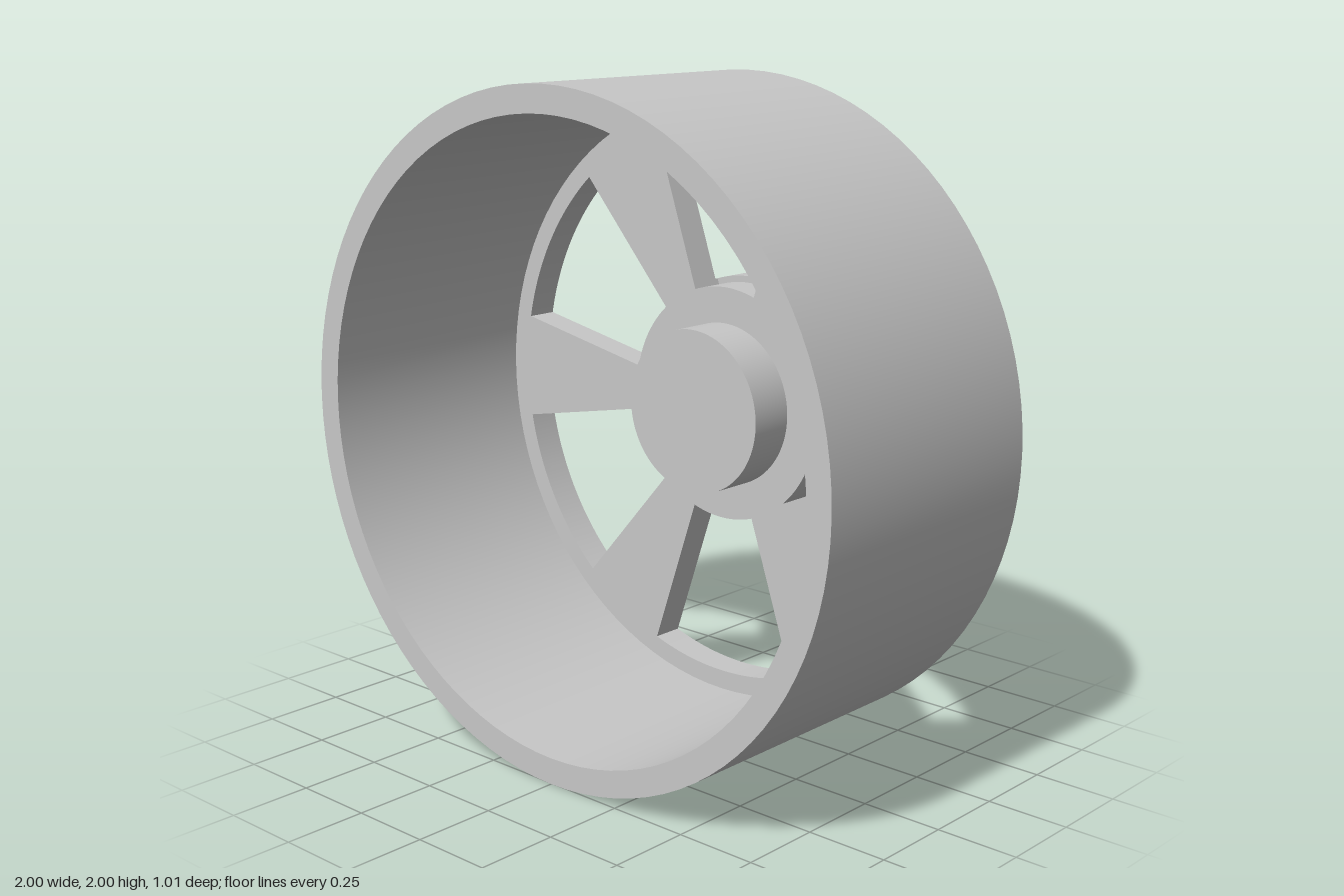
import * as THREE from 'three';
import { toCreasedNormals } from 'three/addons/utils/BufferGeometryUtils.js';

const SEG = 96;
const HALF = THREE.MathUtils.degToRad(18.8); // half angle of one window
const WINDOWS = [...Array(6)].map((_, i) => Math.PI / 6 + (i * Math.PI) / 3);

export function createModel() {
  const wheel = new THREE.Group();
  wheel.name = 'wheel';
  wheel.position.y = 1;
  const grey = new THREE.MeshStandardMaterial({ color: 0xc7c7c7 });
  grey.name = 'light grey';

  function add(name, geometry) {
    const mesh = new THREE.Mesh(toCreasedNormals(geometry, 0.4), grey);
    mesh.name = name;
    wheel.add(mesh);
  }

  // Turned part about the z axis, from [radius, z] pairs
  function turned(name, profile) {
    const points = profile.map(([r, z]) => new THREE.Vector2(r, z));
    add(name, new THREE.LatheGeometry(points, SEG).rotateX(Math.PI / 2));
  }

  function plate(name, shape, z0, z1) {
    const geometry = new THREE.ExtrudeGeometry(shape, {
      depth: z1 - z0, bevelEnabled: false, curveSegments: SEG,
    });
    add(name, geometry.translate(0, 0, z0));
  }

  const circle = (r) => new THREE.Path().absarc(0, 0, r, 0, Math.PI * 2, true);

  // Wide outer rim, open to the front
  turned('rim', [[0.92, -0.345], [1, -0.345], [1, 0.505], [0.92, 0.505], [0.92, -0.245]]);

  // Web plate with six windows, leaving the spokes
  const web = new THREE.Shape().absarc(0, 0, 0.92, 0, Math.PI * 2, false);
  web.holes.push(circle(0.24));
  for (const a of WINDOWS) {
    const hole = new THREE.Path();
    hole.absarc(0, 0, 0.86, a - HALF, a + HALF, false);
    hole.absarc(0, 0, 0.36, a + HALF, a - HALF, true);
    hole.closePath();
    web.holes.push(hole);
  }
  plate('spokes', web, -0.345, -0.245);

  // Thin spacer behind the web, notched at the windows
  const spacer = new THREE.Shape();
  for (const a of WINDOWS) {
    spacer.absarc(0, 0, 0.36, a - HALF, a + HALF, false);
    spacer.absarc(0, 0, 0.38, a + HALF, a + Math.PI / 3 - HALF, false);
  }
  spacer.closePath();
  spacer.holes.push(circle(0.24));
  plate('spacer', spacer, -0.355, -0.345);

  // Hub: blind bore, chamfered collar, rear flange and front boss
  turned('hub', [
    [0, -0.15], [0.145, -0.15], [0.145, -0.475], [0.172, -0.505], [0.19, -0.505],
    [0.19, -0.485], [0.38, -0.485], [0.38, -0.355], [0.25, -0.355], [0.25, -0.1], [0, -0.1],
  ]);

  return wheel;
}
